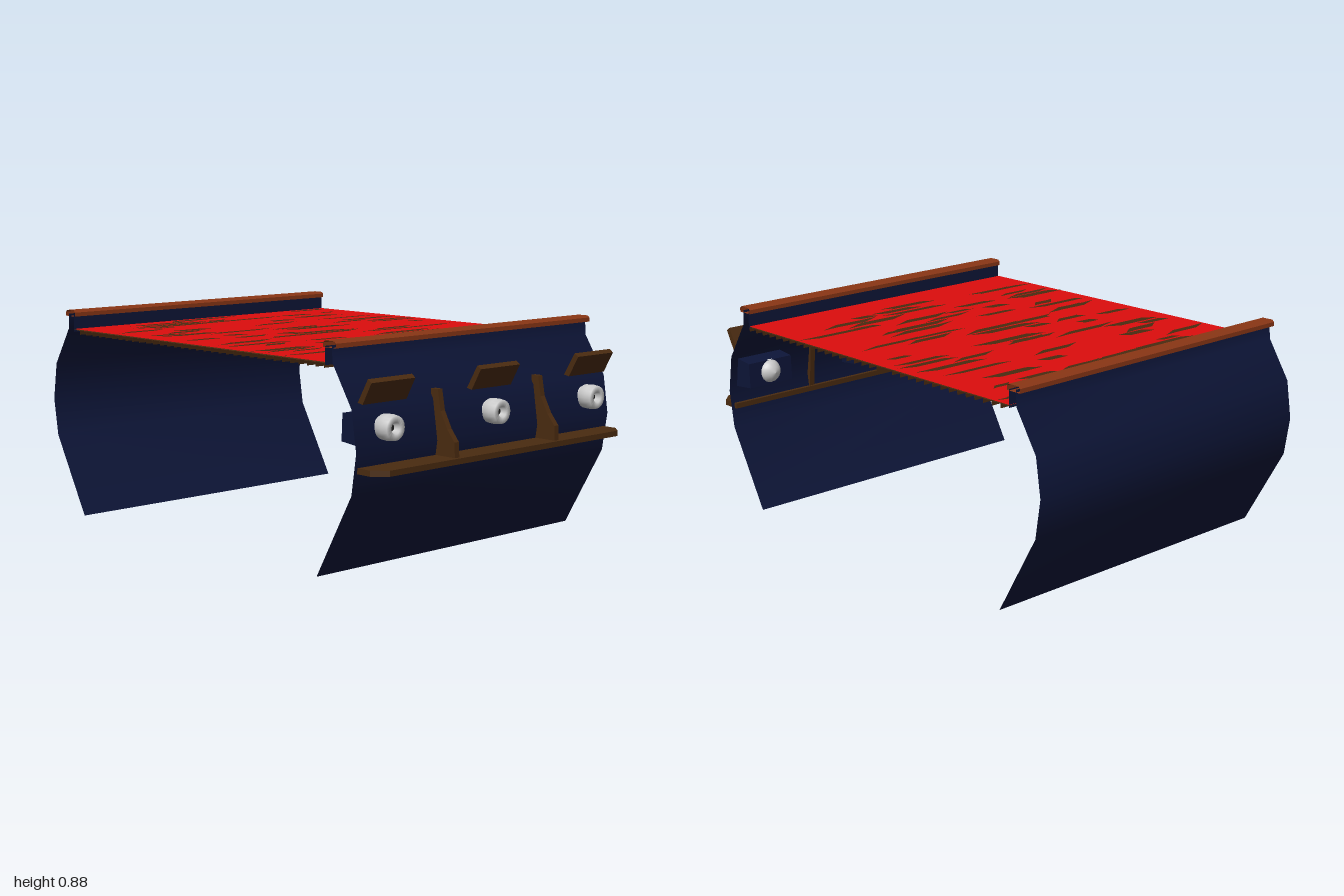
import * as THREE from 'three';

const HALF = 0.715;   // half length of the section
const MID = -0.0525;  // centre line between the two hull walls
const mat = (color, flat = false) =>
  new THREE.MeshStandardMaterial({ color, flatShading: flat, side: THREE.DoubleSide });
const navy = mat(0x0d1538), brown = mat(0x4a2b10, true), trim = mat(0x8a3615, true);
const red = mat(0xdd0d0d, true), grey = mat(0xcccccc), dark = mat(0x222222);

// Open-ended skin: an xy profile swept along z
function sheet(points, z0 = -HALF, z1 = HALF) {
  const pos = [], index = [];
  points.forEach(([x, y], i) => {
    pos.push(x, y, z0, x, y, z1);
    if (i) {
      const a = 2 * i - 2;
      index.push(a, a + 1, a + 3, a, a + 3, a + 2);
    }
  });
  const g = new THREE.BufferGeometry();
  g.setAttribute('position', new THREE.Float32BufferAttribute(pos, 3));
  g.setIndex(index);
  g.computeVertexNormals();
  return g;
}

// Solid: an xy outline extruded along z, centred on zc
function slab(points, width, zc) {
  const shape = new THREE.Shape(points.map(p => new THREE.Vector2(...p)));
  return new THREE.ExtrudeGeometry(shape, { depth: width, bevelEnabled: false })
    .translate(0, 0, zc - width / 2);
}

export function createModel() {
  const model = new THREE.Group();
  const add = (name, geometry, material, parent = model) => {
    const mesh = new THREE.Mesh(geometry, material);
    mesh.name = name;
    parent.add(mesh);
    return mesh;
  };

  // Hull walls, bulwarks and capping rails, mirrored about the centre line
  for (const s of [-1, 1]) {
    const side = s < 0 ? 'right' : 'left';
    const place = pts => pts.map(([u, y]) => [MID + s * u, y]);
    add(side + 'Hull', sheet(place([[0.738, 0], [0.9235, 0.33], [0.9475, 0.487],
      [0.9235, 0.643], [0.825, 0.8], [0.82, 0.865]])), navy);
    add(side + 'Bulwark', sheet(place([[0.785, 0.79], [0.785, 0.86]])), navy);
    add(side + 'Rail', sheet(place([[0.775, 0.855], [0.775, 0.872], [0.785, 0.88],
      [0.833, 0.88], [0.8425, 0.872], [0.8425, 0.855], [0.775, 0.855]])), trim);
  }

  // Deck: painted surface over lapped planks
  const x0 = -0.84, x1 = 0.73, count = 34, w = (x1 - x0) / count;
  add('deckSurface', sheet([[x0, 0.802], [x1, 0.802]]), red);
  const laps = [];
  for (let i = 0; i < count; i++) {
    laps.push([x0 + i * w, 0.799], [x0 + (i + 0.95) * w, 0.797], [x0 + (i + 0.95) * w, 0.78]);
  }
  add('deckPlanks', sheet(laps), brown);

  // Worn slivers where bare wood shows through the paint
  let seed = 11;
  const rnd = () => (seed = (seed * 16807) % 2147483647) / 2147483647;
  const worn = [];
  for (let i = 0; i < 84; i++) {
    const row = Math.floor(rnd() * (count - 3)) + 1;
    const x = x0 + row * w, b = w * (0.5 + 0.45 * rnd());
    const len = 0.1 + 0.28 * rnd(), z = -HALF + rnd() * (2 * HALF - len);
    const tip = rnd() < 0.5 ? 0 : b;
    const shape = new THREE.Shape([[tip, 0], [b, len * 0.3], [b * 0.9, len * 0.8],
      [b - tip, len], [0, len * 0.7], [b * 0.1, len * 0.25]]
      .map(([px, pz]) => new THREE.Vector2(x + px, -(z + pz))));
    worn.push(shape);
  }
  add('wornPatches', new THREE.ShapeGeometry(worn).rotateX(-Math.PI / 2).translate(0, 0.8045, 0), brown);

  // Outer ledge with clipped ends
  const ledge = new THREE.Shape([[0.87, -0.7], [0.95, -0.7], [1, -0.65], [1, 0.65], [0.95, 0.7], [0.87, 0.7]]
    .map(p => new THREE.Vector2(...p)));
  add('ledge', new THREE.ExtrudeGeometry(ledge, { depth: 0.022, bevelEnabled: false })
    .rotateX(-Math.PI / 2).translate(0, 0.41, 0), brown);

  // Upright brackets standing on the ledge
  for (const z of [-0.285, 0.285]) {
    add('bracket', slab([[0.88, 0.43], [0.985, 0.43], [0.982, 0.49], [0.945, 0.535],
      [0.91, 0.6], [0.895, 0.68], [0.86, 0.68]], 0.024, z), brown);
  }

  // Gun ports: lining box, raised lid and gun
  const barrel = [[0, 0.75], [0.025, 0.757], [0.043, 0.775], [0.053, 0.795], [0.046, 0.8],
    [0.038, 0.89], [0.048, 0.892], [0.05, 0.925], [0.046, 0.952], [0.022, 0.952], [0.018, 0.93], [0, 0.93]];
  for (const z of [-0.573, 0, 0.573]) {
    const port = new THREE.Group();
    port.name = 'gunPort';
    model.add(port);
    add('portLining', slab([[0.785, 0.515], [0.885, 0.505], [0.868, 0.63], [0.79, 0.62]], 0.22, z), navy, port);
    add('portLid', slab([[0.87, 0.665], [0.895, 0.66], [0.94, 0.742], [0.922, 0.755]], 0.222, z), brown, port);
    const profile = barrel.map(p => new THREE.Vector2(...p));
    add('gunBarrel', new THREE.LatheGeometry(profile, 20)
      .rotateZ(-Math.PI / 2).translate(0, 0.57, z), grey, port);
    add('gunBore', new THREE.CircleGeometry(0.012, 16)
      .rotateY(Math.PI / 2).translate(0.932, 0.57, z), dark, port);
  }
  return model;
}
